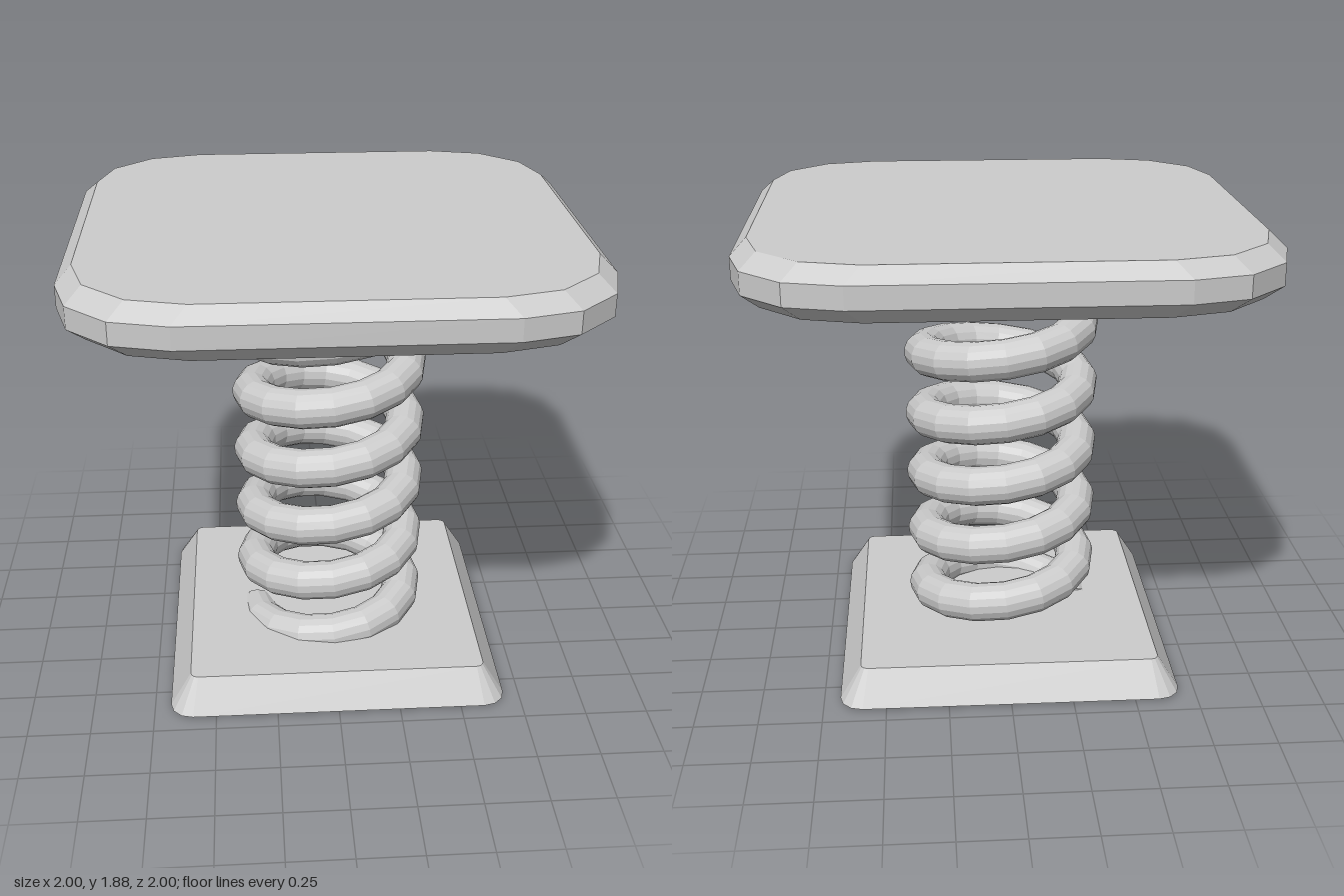
import * as THREE from 'three';

const material = new THREE.MeshStandardMaterial({ color: 0xcccccc, flatShading: true, side: THREE.DoubleSide });

// Rounded square outline: corner arc centres at +-c, arc radius r
function outline(c, r, steps = 3) {
  const points = [];
  for (let q = 0; q < 4; q++) {
    const mid = (q + 0.5) * Math.PI / 2;
    const cx = c * Math.sign(Math.cos(mid)), cz = c * Math.sign(Math.sin(mid));
    for (let i = 0; i <= steps; i++) {
      const a = (q + i / steps) * Math.PI / 2;
      points.push([cx + r * Math.cos(a), cz + r * Math.sin(a)]);
    }
  }
  return points;
}

// Closed solid through stacked rounded squares, each given as [y, c, r]
function loft(name, sections) {
  const pos = [], index = [];
  const rings = sections.map(([y, c, r]) => outline(c, r).map(([x, z]) => [x, y, z]));
  const n = rings[0].length;
  rings.forEach(ring => ring.forEach(p => pos.push(...p)));
  const bottom = pos.length / 3, top = bottom + 1, last = (rings.length - 1) * n;
  pos.push(0, sections[0][0], 0, 0, sections[sections.length - 1][0], 0);
  for (let i = 0; i < n; i++) {
    const j = (i + 1) % n;
    for (let k = 0; k < last; k += n) {
      index.push(k + i, k + n + i, k + j, k + j, k + n + i, k + n + j);
    }
    index.push(bottom, i, j, top, last + j, last + i);
  }
  const geometry = new THREE.BufferGeometry();
  geometry.setAttribute('position', new THREE.Float32BufferAttribute(pos, 3));
  geometry.setIndex(index);
  geometry.computeVertexNormals();
  const mesh = new THREE.Mesh(geometry, material);
  mesh.name = name;
  return mesh;
}

const TURNS = 6, COIL = 0.32, WIRE = 0.08, Y0 = 0.08, Y1 = 1.67;

class Helix extends THREE.Curve {
  getPoint(t, target = new THREE.Vector3()) {
    const a = t * TURNS * Math.PI * 2;
    return target.set(-COIL * Math.cos(a), Y0 + (Y1 - Y0) * t, COIL * Math.sin(a));
  }
}

function createSpring() {
  const spring = new THREE.Group();
  spring.name = 'spring';
  const coil = new THREE.Mesh(new THREE.TubeGeometry(new Helix(), TURNS * 16, WIRE, 16), material);
  coil.name = 'coil';
  spring.add(coil);
  // Flat wire ends
  for (const [name, y, turn] of [['lowerEnd', Y0, Math.PI], ['upperEnd', Y1, 0]]) {
    const end = new THREE.Mesh(new THREE.CircleGeometry(WIRE, 16), material);
    end.name = name;
    end.position.set(-COIL, y, 0);
    end.rotation.y = turn;
    spring.add(end);
  }
  return spring;
}

export function createModel() {
  const model = new THREE.Group();
  model.name = 'springPad';
  // Sloped foot
  model.add(loft('base', [[0.01, 0.595, 0.09], [0.145, 0.57, 0.03]]));
  model.add(createSpring());
  // Chamfered top plate
  model.add(loft('topPlate', [
    [1.685, 0.523, 0.42], [1.745, 0.58, 0.42], [1.83, 0.58, 0.42], [1.885, 0.523, 0.42],
  ]));
  return model;
}
